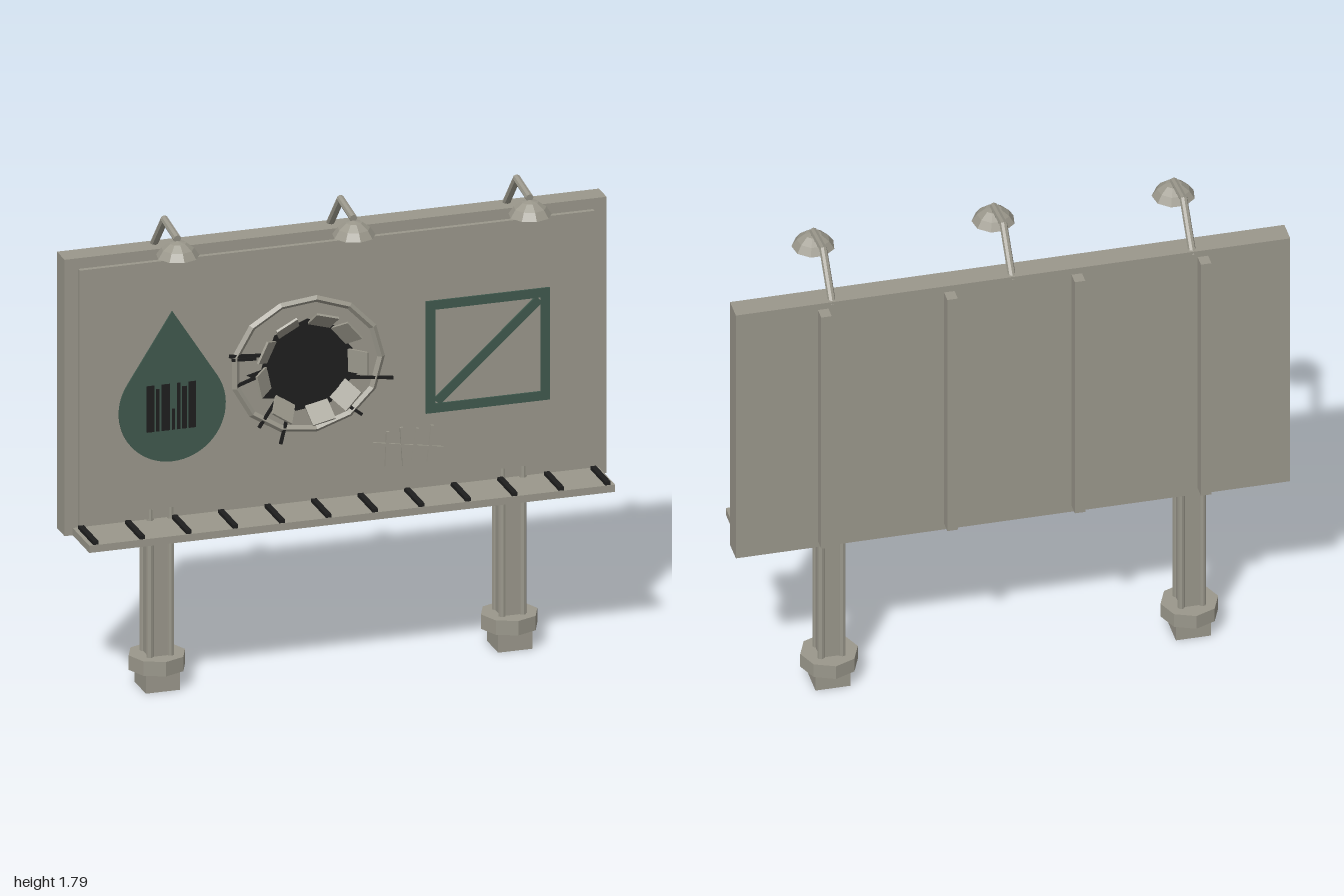
import * as THREE from 'three';

const mat = (name, color) => {
  const m = new THREE.MeshStandardMaterial({ color, flatShading: true });
  m.name = name;
  return m;
};

export function createModel() {
  const root = new THREE.Group();
  root.name = 'billboard';
  const metal = mat('weathered metal', 0x9a978b);
  const green = mat('faded green paint', 0x40594e);
  const black = mat('black', 0x1e1e1e);

  const add = (name, geo, m, x = 0, y = 0, z = 0, parent = root) => {
    const mesh = new THREE.Mesh(geo, m);
    mesh.name = name;
    mesh.position.set(x, y, z);
    parent.add(mesh);
    return mesh;
  };
  // box given by its limits
  const block = (name, m, x0, x1, y0, y1, z0, z1, parent) =>
    add(name, new THREE.BoxGeometry(x1 - x0, y1 - y0, z1 - z0), m,
      (x0 + x1) / 2, (y0 + y1) / 2, (z0 + z1) / 2, parent);
  // thin strip on the panel between two points
  const FACE = -0.058;
  const strip = (name, m, x0, y0, x1, y1, w, depth = 0.008) => {
    const s = add(name, new THREE.BoxGeometry(Math.hypot(x1 - x0, y1 - y0), w, depth), m,
      (x0 + x1) / 2, (y0 + y1) / 2, FACE + depth / 2);
    s.rotation.z = Math.atan2(y1 - y0, x1 - x0);
    return s;
  };
  const plate = (name, shape, m, depth) =>
    add(name, new THREE.ExtrudeGeometry(shape, { depth, bevelEnabled: false, curveSegments: 20 }), m, 0, 0, FACE);
  const polygon = pts => new THREE.Shape(pts.map(p => new THREE.Vector2(p[0], p[1])));

  // board, raised front panel and rear battens
  block('board', metal, -1, 1, 0.61, 1.645, -0.162, -0.076);
  block('frontPanel', metal, -0.95, 0.95, 0.645, 1.605, -0.08, FACE);
  for (const x of [-0.685, -0.23, 0.23, 0.685])
    block('rearBatten', metal, x - 0.019, x + 0.019, 0.635, 1.62, -0.21, -0.16);

  // ledge with dark cross bars
  block('ledge', metal, -0.97, 0.97, 0.61, 0.637, -0.08, 0.11);
  for (let i = 0; i < 12; i++) {
    const x = -0.945 + i * 0.1718;
    block('ledgeBar', black, x - 0.01, x + 0.01, 0.636, 0.65, -0.06, 0.107);
  }

  // posts with corner ridges, collars and feet
  for (const x of [-0.65, 0.65]) {
    const post = new THREE.Group();
    post.name = 'post';
    post.position.set(x, 0, -0.105);
    root.add(post);
    block('postCore', metal, -0.042, 0.042, 0.05, 0.62, -0.04, 0.04, post);
    for (const sx of [-1, 1]) for (const sz of [-1, 1])
      add('postRidge', new THREE.CylinderGeometry(0.013, 0.013, 0.63, 8), metal,
        sx * 0.038, 0.365, sz * 0.037, post);
    add('collar', new THREE.CylinderGeometry(0.104, 0.104, 0.054, 8), metal, 0, 0.097, 0, post);
    block('foot', metal, -0.063, 0.063, 0, 0.075, -0.058, 0.068, post);
  }

  // lamps on bent arms
  const shadeProfile = [[0, 0], [0.077, 0], [0.058, 0.028], [0.03, 0.049], [0, 0.055]]
    .map(p => new THREE.Vector2(...p));
  const elbow = [[1.63, -0.15], [1.775, -0.02], [1.755, 0.12]];
  for (const x of [-0.65, 0, 0.65]) {
    const lamp = new THREE.Group();
    lamp.name = 'lamp';
    lamp.position.x = x;
    root.add(lamp);
    for (let i = 0; i < 2; i++) {
      const [y0, z0] = elbow[i], [y1, z1] = elbow[i + 1];
      const arm = add('lampArm', new THREE.CylinderGeometry(0.014, 0.014, Math.hypot(y1 - y0, z1 - z0) + 0.01, 8),
        metal, 0, (y0 + y1) / 2, (z0 + z1) / 2, lamp);
      arm.rotation.x = Math.atan2(z1 - z0, y1 - y0);
    }
    add('lampShade', new THREE.LatheGeometry(shadeProfile, 9), metal, 0, 1.692, 0.128, lamp);
  }

  // teardrop emblem with bar marks
  const cx = -0.61, cy = 1.05, r = 0.197, tip = 1.415;
  const a = Math.asin(r / (tip - cy));
  const drop = new THREE.Shape();
  drop.moveTo(cx, tip);
  drop.lineTo(cx - r * Math.cos(a), cy + r * Math.sin(a));
  drop.absarc(cx, cy, r, Math.PI - a, 2 * Math.PI + a, false);
  drop.closePath();
  plate('teardrop', drop, green, 0.006);
  const bars = [[-0.705, 0.028], [-0.67, 0.012], [-0.65, 0.03], [-0.612, 0.01],
    [-0.594, 0.012], [-0.574, 0.016], [-0.55, 0.026]];
  bars.forEach(([x, w], i) =>
    block('barMark', black, x, x + w, 0.972, i === 3 ? 1.05 : 1.145 - (i % 2) * 0.015, FACE, FACE + 0.009));

  // square emblem with a diagonal
  const [sx0, sx1, sy0, sy1, t] = [0.326, 0.784, 0.92, 1.34, 0.034];
  const square = polygon([[sx0, sy0], [sx1, sy0], [sx1, sy1], [sx0, sy1]]);
  square.holes.push(polygon([[sx0 + t, sy0 + t], [sx0 + t, sy1 - t], [sx1 - t, sy1 - t], [sx1 - t, sy0 + t]]));
  plate('squareFrame', square, green, 0.006);
  strip('squareDiagonal', green, sx0 + 0.04, sy0 + 0.04, sx1 - 0.04, sy1 - 0.04, 0.034, 0.006);

  // torn hole with spiked edge
  const hx = -0.11, hy = 1.155;
  const edge = [];
  for (let i = 0; i < 24; i++) {
    const q = i * Math.PI / 12, rad = 0.165 + 0.008 * Math.sin(i * 2.3);
    edge.push([hx + rad * Math.cos(q), hy + rad * Math.sin(q)]);
  }
  plate('hole', polygon(edge), black, 0.005);
  const spikes = [[[0.03, 1.17], [0.03, 1.07], [0.107, 1.125]], [[-0.26, 1.16], [-0.335, 1.14], [-0.26, 1.1]],
    [[-0.25, 1.08], [-0.285, 1.05], [-0.2, 1.04]], [[0.0, 1.07], [-0.02, 1.03], [0.06, 1.02]]];
  for (const s of spikes) {
    if (THREE.ShapeUtils.area(s.map(p => new THREE.Vector2(...p))) < 0) s.reverse();
    plate('holeSpike', polygon(s), black, 0.006);
  }

  // metal flaps bent outward around the hole
  for (const deg of [0, 40, 74, 118, 155, 192, 236, 282, 318]) {
    const flap = new THREE.Group();
    flap.name = 'flap';
    flap.position.set(hx, hy, FACE);
    flap.rotation.z = THREE.MathUtils.degToRad(deg);
    root.add(flap);
    const sheet = add('flapSheet', new THREE.BoxGeometry(0.085, 0.085, 0.008), metal, 0.175, 0, 0.03, flap);
    sheet.rotation.y = -0.82;
  }

  // raised ring around the hole
  const ring = add('ring', new THREE.TorusGeometry(0.272, 0.014, 4, 13), metal, hx, hy, FACE);
  ring.scale.set(1, 0.9, 0.8);

  // cracks
  const cracks = [[-0.4, 1.22, -0.28, 1.21], [-0.375, 1.105, -0.3, 1.13], [-0.21, 0.87, -0.185, 0.97],
    [-0.29, 0.94, -0.23, 1.03], [0.09, 0.945, 0.02, 1.0], [0.205, 1.07, 0.05, 1.09], [-0.39, 1.205, -0.3, 1.2]];
  for (const c of cracks) strip('crack', black, ...c, 0.011);

  // tally scratches
  const tallies = [[0.185, 0.87, 0.18, 0.74], [0.235, 0.88, 0.245, 0.735], [0.295, 0.87, 0.275, 0.735],
    [0.35, 0.875, 0.335, 0.74], [0.13, 0.83, 0.39, 0.785]];
  for (const c of tallies) strip('tallyMark', metal, ...c, 0.011);

  return root;
}
